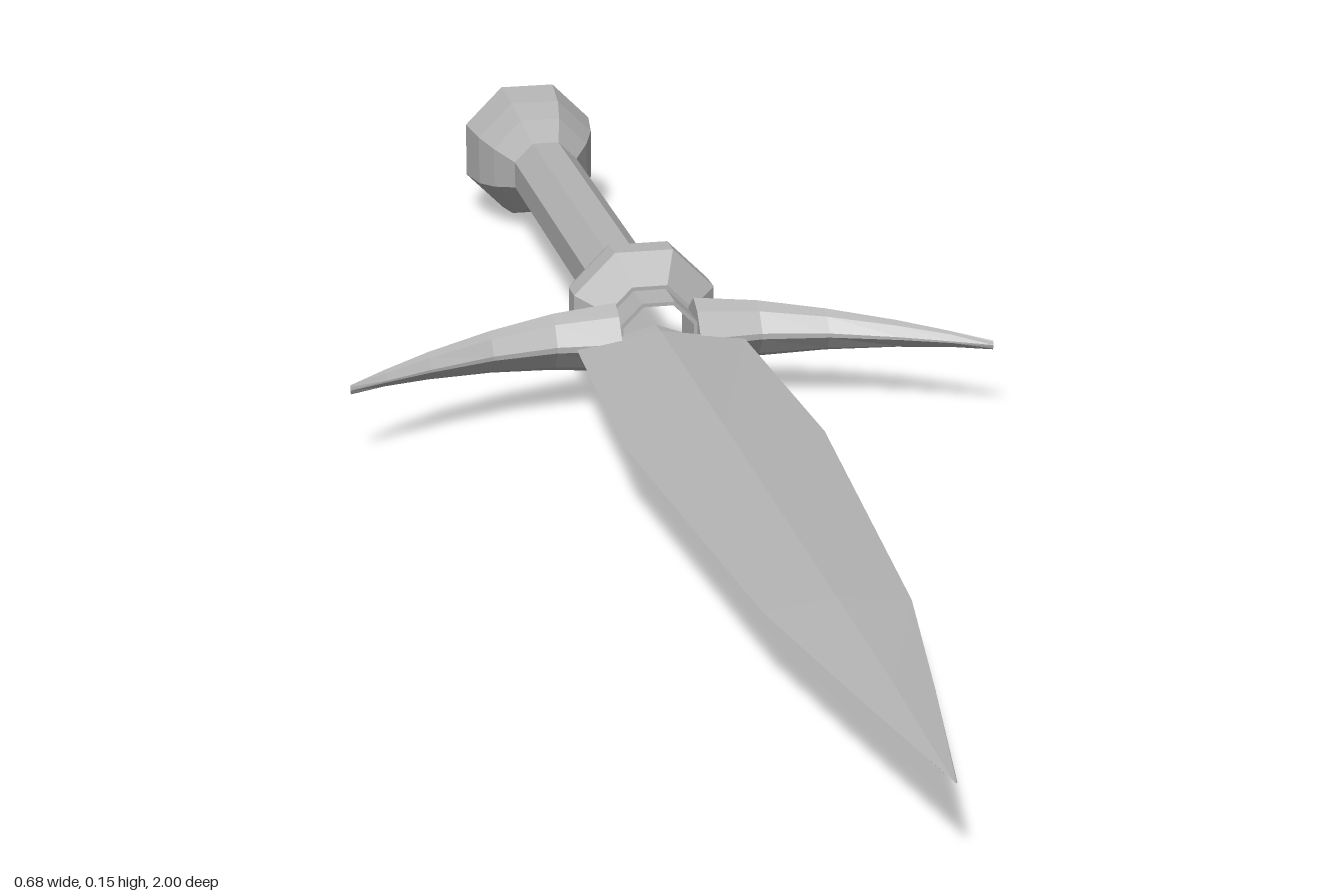
import * as THREE from 'three';

const CY = 0.076; // height of the long axis
const steel = new THREE.MeshStandardMaterial({ color: 0xb4b4b4 });
steel.name = 'steel grey';

// Faceted mesh: every face gets its own normal
function facetedMesh(name, geometry) {
  const flat = geometry.index ? geometry.toNonIndexed() : geometry;
  flat.computeVertexNormals();
  const mesh = new THREE.Mesh(flat, steel);
  mesh.name = name;
  mesh.position.y = CY;
  return mesh;
}

// Skin over closed cross-sections, capped at both ends
function loft(sections) {
  const n = sections[0].length, last = sections.length - 1;
  const index = [];
  for (let i = 0; i < last; i++) {
    for (let j = 0; j < n; j++) {
      const k = (j + 1) % n;
      const a = i * n + j, b = i * n + k, c = b + n, d = a + n;
      index.push(a, b, c, a, c, d);
    }
  }
  for (let j = 1; j < n - 1; j++) {
    index.push(0, j + 1, j);
    index.push(last * n, last * n + j, last * n + j + 1);
  }
  const geometry = new THREE.BufferGeometry();
  geometry.setAttribute('position', new THREE.Float32BufferAttribute(sections.flat(2), 3));
  geometry.setIndex(index);
  return geometry;
}

// Eight-sided turned part along z, from [flat radius, z] pairs
function turned(name, profile) {
  const points = profile.map(([r, z]) => new THREE.Vector2(r / Math.cos(Math.PI / 8), z));
  return facetedMesh(name, new THREE.LatheGeometry(points, 8, Math.PI / 8).rotateX(Math.PI / 2));
}

// One half of the crossguard, sweeping forward to a point
function guardArm(side) {
  // x, back z, front z, half height
  const stations = [
    [0.042, -0.222, -0.158, 0.038],
    [0.11, -0.215, -0.165, 0.031],
    [0.18, -0.192, -0.153, 0.023],
    [0.25, -0.158, -0.127, 0.015],
    [0.30, -0.124, -0.104, 0.009],
    [0.34, -0.088, -0.084, 0.005],
  ];
  const sections = stations.map(([x, zb, zf, h]) => {
    const at = (y, t) => [side * x, y * h, zb + (zf - zb) * t];
    return [at(1, 0.4), at(0.75, 0.7), at(0.1, 1), at(-0.1, 1),
      at(-0.75, 0.7), at(-1, 0.4), at(-0.5, 0), at(0.5, 0)];
  });
  if (side < 0) sections.reverse();
  return facetedMesh(side > 0 ? 'leftGuardArm' : 'rightGuardArm', loft(sections));
}

export function createModel() {
  const model = new THREE.Group();
  model.name = 'dagger';

  // Blade: diamond section, widest a little ahead of the guard
  const blade = [
    [-0.19, 0.035, 0.013],
    [-0.165, 0.09, 0.014],
    [0.14, 0.102, 0.013],
    [0.60, 0.069, 0.008],
    [0.80, 0.036, 0.005],
    [1.0, 0.001, 0.001],
  ].map(([z, w, t]) => [[w, 0, z], [0, t, z], [-w, 0, z], [0, -t, z]]);
  model.add(facetedMesh('blade', loft(blade)));

  model.add(guardArm(1), guardArm(-1));

  // Pommel with a shallow recess in its end
  model.add(turned('pommel', [
    [0, -0.97], [0.046, -0.99], [0.052, -1], [0.064, -0.97], [0.075, -0.94],
    [0.068, -0.89], [0.056, -0.855], [0.037, -0.82],
  ]));
  model.add(turned('grip', [[0.037, -0.82], [0.037, -0.38]]));

  // Knob before the guard, with an open neck
  model.add(turned('knob', [
    [0.037, -0.38], [0.066, -0.31], [0.076, -0.28], [0.076, -0.25], [0.046, -0.22],
    [0.042, -0.22], [0.042, -0.175], [0.038, -0.175], [0.037, -0.23],
  ]));
  return model;
}
